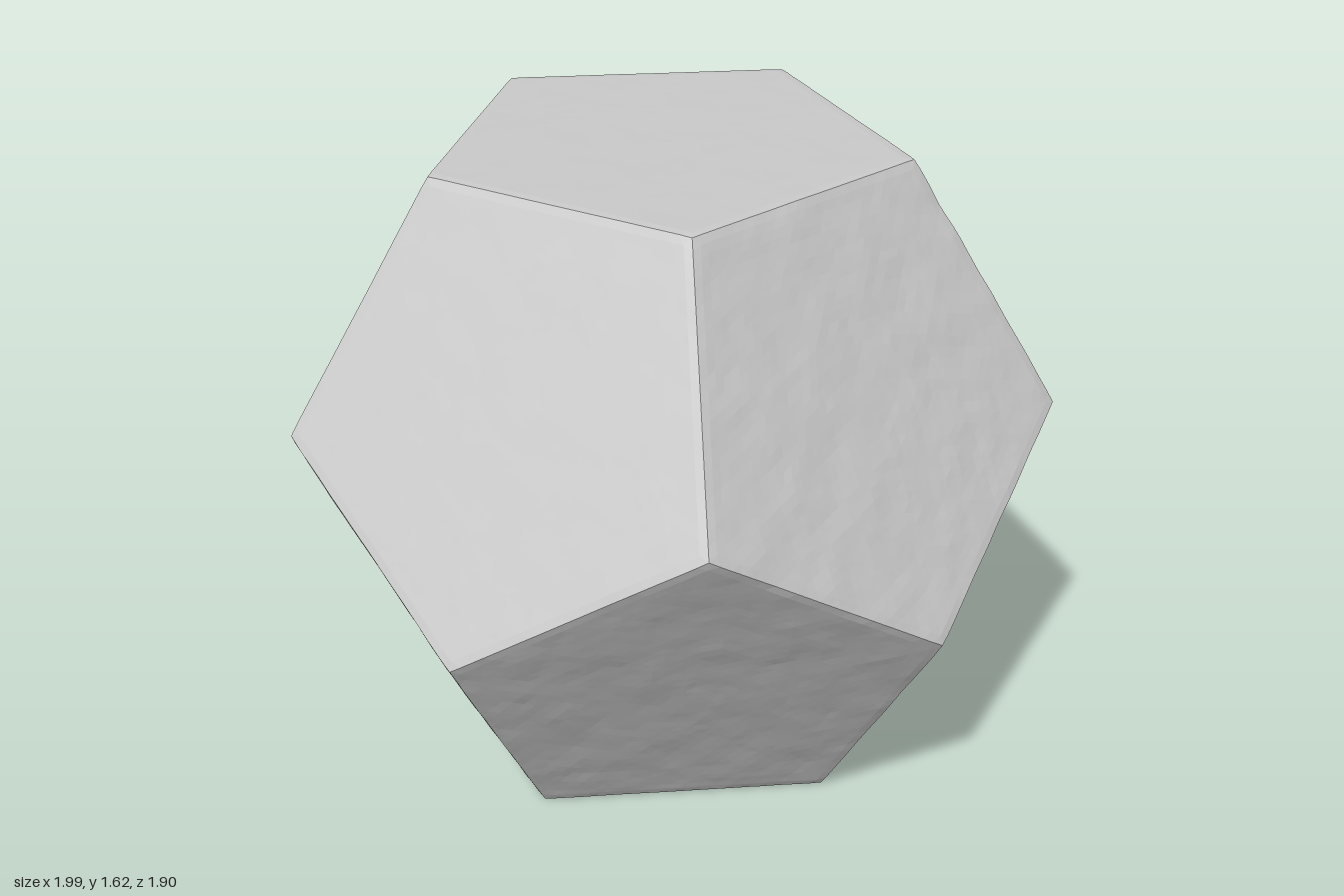
import * as THREE from 'three';
import { mergeVertices } from 'three/addons/utils/BufferGeometryUtils.js';

const PHI = (1 + Math.sqrt(5)) / 2;
const IN_RADIUS = PHI / 2; // centre to face
const STEPS = 22; // subdivisions along each face spoke

const onRing = (radius, y, degrees) => {
  const a = THREE.MathUtils.degToRad(degrees);
  return new THREE.Vector3(radius * Math.cos(a), y, radius * Math.sin(a));
};

// Repeatable lattice noise in -1..1
function hash(x, y, z, seed) {
  const s = Math.sin(x * 127.1 + y * 311.7 + z * 74.7 + seed * 53.3) * 43758.5453;
  return (s - Math.floor(s)) * 2 - 1;
}
function noise(p, scale, seed) {
  const q = p.clone().multiplyScalar(scale);
  const c = q.clone().floor();
  const f = q.sub(c);
  let sum = 0;
  for (let i = 0; i < 8; i++) {
    const dx = i & 1, dy = (i >> 1) & 1, dz = i >> 2;
    const weight = (dx ? f.x : 1 - f.x) * (dy ? f.y : 1 - f.y) * (dz ? f.z : 1 - f.z);
    sum += weight * hash(c.x + dx, c.y + dy, c.z + dz, seed);
  }
  return sum;
}

// Twelve faces, some cut smooth and some rough; twenty corners in four rings
function layout() {
  const corners = [];
  const faces = [
    { normal: new THREE.Vector3(0, 1, 0), rough: 0.0004 },
    { normal: new THREE.Vector3(0, -1, 0), rough: 0.001 },
  ];
  const upperRough = [0.004, 0.001, 0.0006, 0.001, 0.003];
  const lowerRough = [0.001, 0.003, 0.003, 0.001, 0.002];
  const h = 1 / Math.sqrt(5);
  for (let i = 0; i < 5; i++) {
    const a = i * 72;
    corners.push(
      onRing(1 / PHI, IN_RADIUS, a), onRing(1, IN_RADIUS - 1 / PHI, a),
      onRing(1, 1 / PHI - IN_RADIUS, a + 36), onRing(1 / PHI, -IN_RADIUS, a + 36));
    faces.push({ normal: onRing(2 * h, h, a + 36), rough: upperRough[i] });
    faces.push({ normal: onRing(2 * h, -h, a), rough: lowerRough[i] });
  }
  return { corners, faces };
}

// Project a point radially onto the worn stone: a soft minimum of the face planes
function wear(point, faces) {
  const dir = point.clone().normalize();
  const softness = 0.003;
  const reach = faces.map(({ normal, rough }, i) => {
    const d = dir.dot(normal);
    if (d < 0.3) return Infinity;
    const grain = noise(point, 13, i) * 0.7 + noise(point, 29, i + 20) * 0.3;
    return (IN_RADIUS + rough * grain) / d;
  });
  const nearest = Math.min(...reach);
  const blend = reach.reduce((sum, r) => sum + Math.exp((nearest - r) / softness), 0);
  return dir.multiplyScalar(nearest - softness * Math.log(blend));
}

export function createModel() {
  const { corners, faces } = layout();
  const positions = [];

  // Each pentagon is a fan of five subdivided triangles
  for (const { normal } of faces) {
    const ring = [...corners].sort((a, b) => b.dot(normal) - a.dot(normal)).slice(0, 5);
    const centre = normal.clone().multiplyScalar(IN_RADIUS);
    const u = ring[0].clone().sub(centre).normalize();
    const v = normal.clone().cross(u);
    const angle = (p) => Math.atan2(p.clone().sub(centre).dot(v), p.clone().sub(centre).dot(u));
    ring.sort((a, b) => angle(a) - angle(b));

    ring.forEach((a, k) => {
      const b = ring[(k + 1) % 5];
      const grid = [];
      for (let i = 0; i <= STEPS; i++) {
        grid.push([]);
        for (let j = 0; j <= i; j++) {
          const p = centre.clone()
            .addScaledVector(a.clone().sub(centre), (i - j) / STEPS)
            .addScaledVector(b.clone().sub(centre), j / STEPS);
          grid[i].push(wear(p, faces));
        }
      }
      const tri = (...points) => points.forEach((p) => positions.push(p.x, p.y, p.z));
      for (let i = 0; i < STEPS; i++) {
        for (let j = 0; j <= i; j++) {
          tri(grid[i][j], grid[i + 1][j], grid[i + 1][j + 1]);
          if (j < i) tri(grid[i][j], grid[i + 1][j + 1], grid[i][j + 1]);
        }
      }
    });
  }

  const raw = new THREE.BufferGeometry();
  raw.setAttribute('position', new THREE.Float32BufferAttribute(positions, 3));
  const geometry = mergeVertices(raw, 1e-5);
  geometry.computeVertexNormals();
  geometry.translate(0, IN_RADIUS, 0);

  const stone = new THREE.Mesh(
    geometry, new THREE.MeshStandardMaterial({ color: 0xcccccc, flatShading: true }));
  stone.name = 'dodecahedronStone';
  const group = new THREE.Group();
  group.name = 'wornDodecahedron';
  group.add(stone);
  return group;
}
